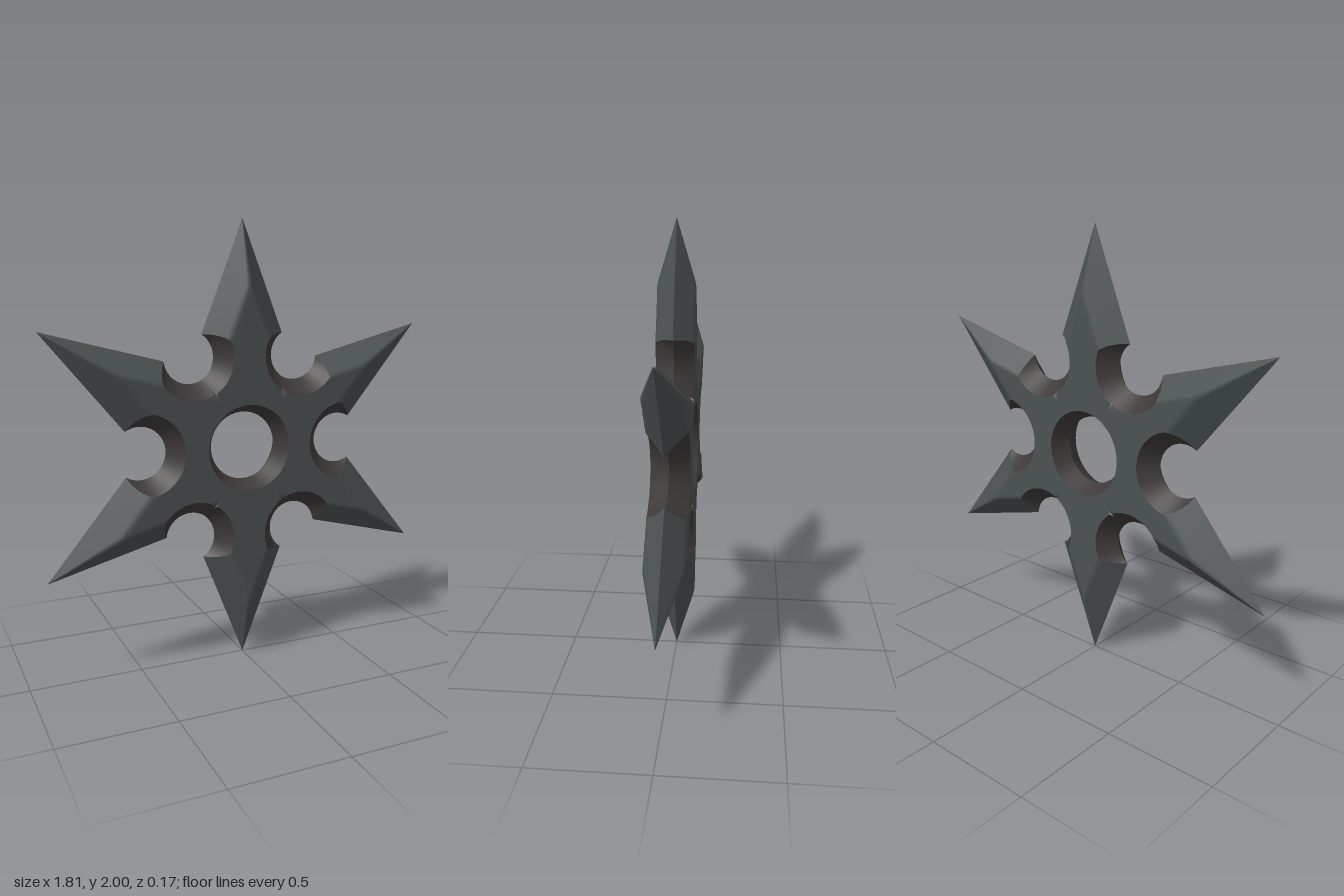
import * as THREE from 'three';
import { mergeVertices } from 'three/addons/utils/BufferGeometryUtils.js';

const H = 0.085;                       // half thickness
const HOLE_IN = 0.154, HOLE_OUT = 0.195; // centre hole at mid-plane and at the face
const NOTCH_BEVEL = 0.066;             // plan width of the notch wall
const ARC = 28, EDGE = 16, ACROSS = 10;
const V = (x, y) => new THREE.Vector2(x, y);

// Half blades of one quadrant: tip, base corner, notch centre, length of the sloping ridge
const upperNotch = V(0.26, 0.41), sideNotch = V(0.49, 0);
const halves = [
  { tip: V(0, 1), corner: V(0.195, 0.505), notch: upperNotch, slope: 0.28 },
  { tip: V(0.904, 0.532), corner: V(0.37, 0.394), notch: upperNotch, slope: 0.35 },
  { tip: V(0.904, 0.532), corner: V(0.55, 0.1), notch: sideNotch, slope: 0.35 },
];

// Adds one triangle, wound to face the given side
function tri(out, a, b, c, side) {
  const cross = (b[0] - a[0]) * (c[1] - a[1]) - (b[1] - a[1]) * (c[0] - a[0]);
  if (Math.abs(cross) < 1e-9) return;
  out.push(...a, ...(cross * side > 0 ? [...b, ...c] : [...c, ...b]));
}

// Joins neighbouring rows of points into a surface
function loft(out, rows, [mx, my, side]) {
  const place = p => [p[0] * mx, p[1] * my, p[2] * side];
  for (let i = 0; i + 1 < rows.length; i++) {
    for (let j = 0; j + 1 < rows[i].length; j++) {
      const [a, b, c, d] = [rows[i][j], rows[i][j + 1], rows[i + 1][j], rows[i + 1][j + 1]].map(place);
      tri(out, a, b, c, side);
      tri(out, b, d, c, side);
    }
  }
}

function halfBlade({ tip, corner, notch, slope }) {
  const axis = tip.clone().normalize(), length = tip.length();
  // Bevel height rises with the distance from the cutting edge
  const along = tip.clone().sub(corner).normalize();
  const normal = V(-along.y, along.x);
  if (normal.dot(tip) > 0) normal.negate();
  if (normal.dot(axis.clone().multiplyScalar(0.3).sub(tip)) < 0) normal.negate();
  const dist = p => normal.dot(p.clone().sub(tip));
  const k = H / dist(axis.clone().multiplyScalar(length - slope));
  const height = p => Math.max(0, Math.min(H, k * dist(p)));

  const toCorner = corner.clone().sub(notch);
  const from = Math.atan2(-notch.y, -notch.x);
  let sweep = Math.atan2(toCorner.y, toCorner.x) - from;
  sweep = Math.atan2(Math.sin(sweep), Math.cos(sweep));
  const axisAngle = axis.angle(), notchAngle = notch.angle();
  const steep = H / NOTCH_BEVEL, baseAt = length * 0.58;

  const face = [], notchWall = [], holeWall = [];
  const addRow = (inner, outer, zOuter) => {
    const row = [];
    for (let u = 0; u <= ACROSS; u++) {
      const p = inner.clone().lerp(outer, u / ACROSS);
      row.push([p.x, p.y, u === ACROSS ? zOuter : height(p)]);
    }
    face.push(row);
  };

  // Around the notch
  for (let i = 0; i <= ARC; i++) {
    const t = i / ARC, a = from + sweep * t;
    const dir = V(Math.cos(a), Math.sin(a));
    const r = THREE.MathUtils.lerp(0.122, toCorner.length(), t);
    const low = notch.clone().addScaledVector(dir, r);
    const reach = Math.max(0, Math.min(NOTCH_BEVEL, k * dist(low) / (steep - k * dir.dot(normal))));
    const rim = low.clone().addScaledVector(dir, reach);
    notchWall.push([[low.x, low.y, 0], [rim.x, rim.y, reach * steep]]);

    const s = t / 0.43;
    let inner;
    if (s <= 1.0001) {
      const h = THREE.MathUtils.lerp(notchAngle, axisAngle, Math.min(1, s));
      inner = V(Math.cos(h), Math.sin(h)).multiplyScalar(HOLE_OUT);
      holeWall.push([[inner.x * HOLE_IN / HOLE_OUT, inner.y * HOLE_IN / HOLE_OUT, 0], [inner.x, inner.y, H]]);
    } else {
      inner = axis.clone().multiplyScalar(THREE.MathUtils.lerp(HOLE_OUT, baseAt, (t - 0.43) / 0.57));
    }
    addRow(inner, rim, reach * steep);
  }
  // Close the hole wall exactly on the blade axis
  const [ex, ey] = [axis.x, axis.y];
  holeWall.push([[ex * HOLE_IN, ey * HOLE_IN, 0], [ex * HOLE_OUT, ey * HOLE_OUT, H]]);
  const firstAxisRow = holeWall.length - 1;
  face.splice(firstAxisRow, 0, face[firstAxisRow].map((p, u) => {
    const o = face[firstAxisRow][ACROSS];
    const q = V(ex * HOLE_OUT, ey * HOLE_OUT).lerp(V(o[0], o[1]), u / ACROSS);
    return u === ACROSS ? o : [q.x, q.y, height(q)];
  }));
  // Along the cutting edge to the tip
  for (let i = 1; i <= EDGE; i++) {
    const t = i / EDGE;
    addRow(axis.clone().multiplyScalar(THREE.MathUtils.lerp(baseAt, length, t)), corner.clone().lerp(tip, t), 0);
  }
  return { face, notchWall, holeWall };
}

export function createModel() {
  const group = new THREE.Group();
  const steel = new THREE.MeshStandardMaterial({ color: 0x4b5151 });
  steel.name = 'dark steel';
  const shade = new THREE.MeshStandardMaterial({ color: 0x3e3a39 });
  shade.name = 'charcoal';

  const parts = halves.map(halfBlade);
  const addMesh = (name, key, side, material) => {
    const out = [];
    for (const part of parts)
      for (const mx of [1, -1])
        for (const my of [1, -1]) loft(out, part[key], [mx, my, side]);
    let geo = new THREE.BufferGeometry();
    geo.setAttribute('position', new THREE.Float32BufferAttribute(out, 3));
    geo = mergeVertices(geo, 1e-4);
    geo.computeVertexNormals();
    const mesh = new THREE.Mesh(geo, material);
    mesh.name = name;
    mesh.position.y = 1;
    group.add(mesh);
  };
  for (const [label, side] of [['front', 1], ['back', -1]]) {
    addMesh(label + 'Blades', 'face', side, steel);
    addMesh(label + 'NotchWalls', 'notchWall', side, shade);
    addMesh(label + 'HoleWall', 'holeWall', side, shade);
  }
  return group;
}
